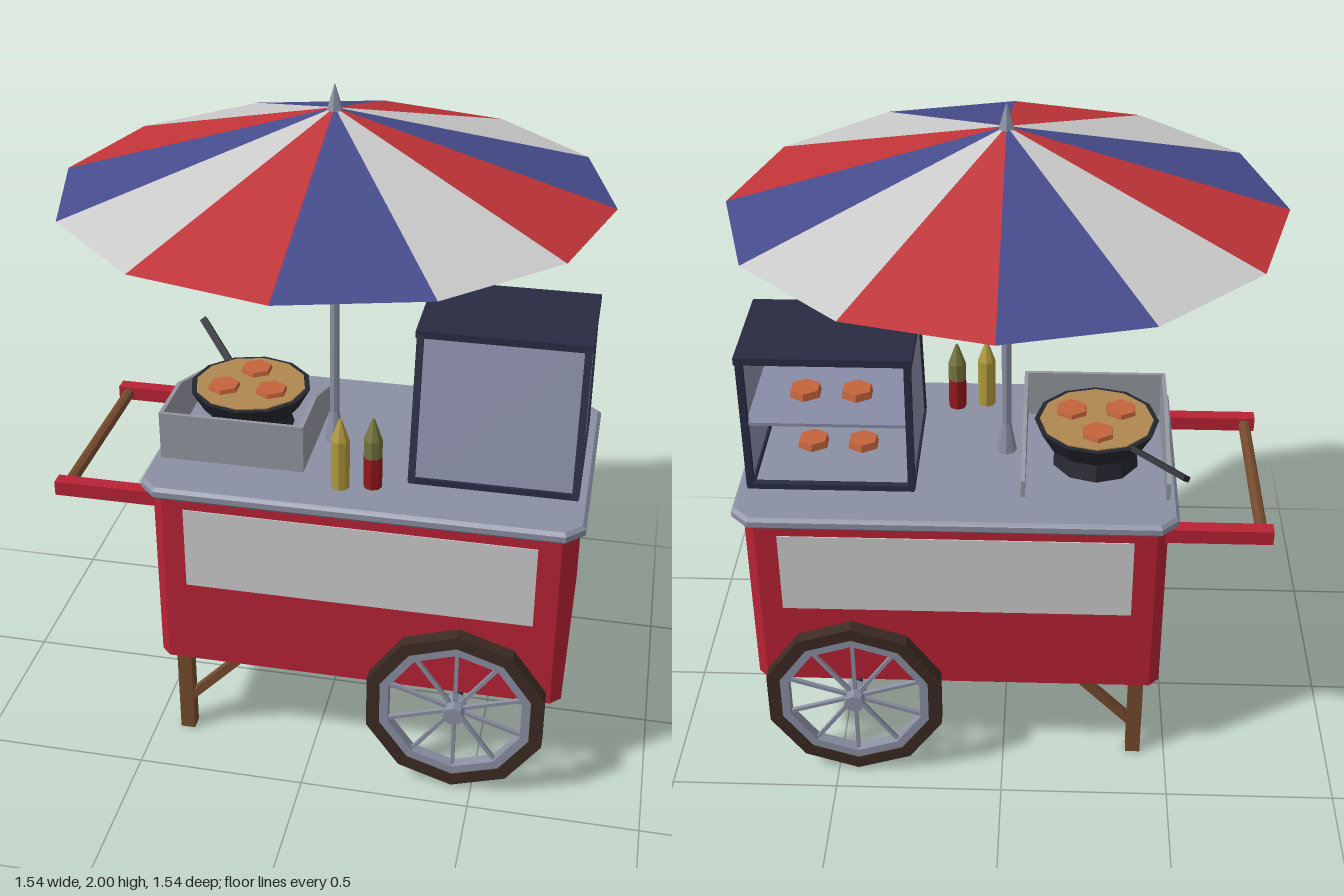
import * as THREE from 'three';

const mat = (color) => new THREE.MeshStandardMaterial({ color, flatShading: true, side: THREE.DoubleSide });
const RED = mat(0xb82234), GREY = mat(0xcccccc), STEEL = mat(0x8a8fa2), DARK = mat(0x282c42),
  WOOD = mat(0x744a2c), TYRE = mat(0x3c2a22), GLASS = mat(0x888ca6), STOVE = mat(0x92969e),
  BLACK = mat(0x24262e), PATTY = mat(0xc4643c), OIL = mat(0xb08850), MUSTARD = mat(0xb09a3c),
  OLIVE = mat(0x74743c), KETCHUP = mat(0x96181c);

function add(parent, name, geometry, material, x = 0, y = 0, z = 0) {
  const m = new THREE.Mesh(geometry, material);
  m.name = name;
  m.position.set(x, y, z);
  parent.add(m);
  return m;
}
const box = (p, name, m, w, h, d, x, y, z) => add(p, name, new THREE.BoxGeometry(w, h, d), m, x, y, z);
const cyl = (p, name, m, rTop, rBottom, h, sides, x, y, z) =>
  add(p, name, new THREE.CylinderGeometry(rTop, rBottom, h, sides), m, x, y, z);

// Straight bar from a to b
function bar(p, name, m, a, b, w, d = w) {
  const A = new THREE.Vector3(...a), B = new THREE.Vector3(...b);
  const dir = B.clone().sub(A);
  const mesh = box(p, name, m, w, dir.length(), d, 0, 0, 0);
  mesh.position.copy(A).add(B).multiplyScalar(0.5);
  mesh.quaternion.setFromUnitVectors(new THREE.Vector3(0, 1, 0), dir.normalize());
  return mesh;
}

// Upright slab with chamfered corners, optionally with a bevelled rim
function slab(x0, x1, hz, c, y0, y1, bevel = 0) {
  const a = x0 + bevel, b = x1 - bevel, h = hz - bevel;
  const s = new THREE.Shape([[a + c, -h], [b - c, -h], [b, c - h], [b, h - c], [b - c, h], [a + c, h], [a, h - c], [a, c - h]]
    .map((q) => new THREE.Vector2(...q)));
  const g = new THREE.ExtrudeGeometry(s, { depth: y1 - y0 - 2 * bevel, bevelEnabled: bevel > 0, bevelSize: bevel, bevelThickness: bevel, bevelSegments: 1 });
  return g.rotateX(-Math.PI / 2).translate(0, y0 + bevel, 0);
}

// Panel in the z-y plane, extruded along x
function sidePanel(points, t) {
  const s = new THREE.Shape(points.map(([z, y]) => new THREE.Vector2(-z, y)));
  return new THREE.ExtrudeGeometry(s, { depth: t, bevelEnabled: false }).translate(0, 0, -t / 2).rotateY(Math.PI / 2);
}

// Ten-sided ring facing z
function ring(outer, inner, width) {
  const poly = (r) => Array.from({ length: 10 }, (_, i) => {
    const t = Math.PI / 2 + i * Math.PI / 5;
    return new THREE.Vector2(r * Math.cos(t), r * Math.sin(t));
  });
  const s = new THREE.Shape(poly(outer));
  s.holes.push(new THREE.Path(poly(inner)));
  return new THREE.ExtrudeGeometry(s, { depth: width, bevelEnabled: false }).translate(0, 0, -width / 2);
}

function wheel(z) {
  const g = new THREE.Group();
  g.name = 'wheel';
  add(g, 'tyre', ring(0.272, 0.232, 0.042), TYRE);
  add(g, 'rim', ring(0.234, 0.205, 0.034), STEEL);
  for (let i = 0; i < 10; i++) {
    const t = Math.PI / 2 + i * Math.PI / 5;
    bar(g, 'spoke', STEEL, [0, 0, 0], [0.215 * Math.cos(t), 0.215 * Math.sin(t), 0], 0.011);
  }
  cyl(g, 'hub', STEEL, 0.03, 0.03, 0.075, 8, 0, 0, 0).rotation.x = Math.PI / 2;
  g.position.set(0.44, 0.277, z);
  return g;
}

function umbrella() {
  const g = new THREE.Group();
  g.name = 'umbrella';
  const colors = [mat(0xc03438), mat(0xcccccc), mat(0x464c8c)];
  const rim = (i) => [0.77 * Math.sin(i * Math.PI / 6), 1.705, -0.77 * Math.cos(i * Math.PI / 6)];
  for (let i = 0; i < 12; i++) {
    const geo = new THREE.BufferGeometry();
    geo.setAttribute('position', new THREE.Float32BufferAttribute([0, 1.935, 0, ...rim(i + 1), ...rim(i)], 3));
    geo.computeVertexNormals();
    add(g, 'canopySegment', geo, colors[i % 3]);
  }
  cyl(g, 'pole', STEEL, 0.014, 0.014, 1.03, 8, 0, 1.415, 0);
  cyl(g, 'poleBase', STEEL, 0.014, 0.032, 0.1, 8, 0, 0.955, 0);
  cyl(g, 'finial', STEEL, 0.001, 0.026, 0.08, 6, 0, 1.96, 0);
  return g;
}

function displayCase() {
  const g = new THREE.Group();
  g.name = 'displayCase';
  const x0 = 0.265, x1 = 0.73, cx = 0.4975;
  const outline = [[0.205, 0.915], [-0.225, 0.915], [-0.225, 1.33], [0.1, 1.33]];
  for (const x of [x0, x1]) {
    add(g, 'casePane', sidePanel(outline, 0.008), GLASS, x);
    bar(g, 'frontPost', DARK, [x, 0.915, 0.203], [x, 1.335, 0.098], 0.02);
    bar(g, 'backPost', DARK, [x, 0.915, -0.225], [x, 1.335, -0.225], 0.02);
    box(g, 'sideRail', DARK, 0.02, 0.018, 0.43, x, 0.92, -0.01);
  }
  bar(g, 'slopedFront', GLASS, [cx, 0.915, 0.2], [cx, 1.33, 0.095], 0.46, 0.008);
  box(g, 'frontRail', DARK, 0.48, 0.018, 0.02, cx, 0.92, 0.2);
  box(g, 'backRail', DARK, 0.48, 0.018, 0.02, cx, 0.92, -0.225);
  box(g, 'roof', DARK, 0.492, 0.022, 0.345, cx, 1.334, -0.064);
  box(g, 'shelf', GLASS, 0.46, 0.01, 0.33, cx, 1.125, -0.06);
  for (const x of [0.43, 0.58]) {
    cyl(g, 'shelfPatty', PATTY, 0.045, 0.05, 0.022, 6, x, 1.141, -0.06);
    cyl(g, 'lowerPatty', PATTY, 0.045, 0.05, 0.022, 6, x, 0.922, 0.01);
  }
  return g;
}

function stove() {
  const g = new THREE.Group();
  g.name = 'stove';
  // Wind guard, open to the back
  const guard = [[0.21, 0.905], [-0.25, 0.905], [-0.25, 0.965], [0.02, 1.057], [0.21, 1.057]];
  for (const x of [-0.47, -0.055]) add(g, 'guardSide', sidePanel(guard, 0.012), STOVE, x);
  box(g, 'guardFront', STOVE, 0.42, 0.15, 0.012, -0.2625, 0.982, 0.205);
  // Burner, pan and food
  cyl(g, 'burner', BLACK, 0.11, 0.13, 0.07, 10, -0.265, 0.945, -0.04);
  cyl(g, 'pan', BLACK, 0.182, 0.145, 0.065, 12, -0.265, 1.012, -0.04);
  cyl(g, 'fryingOil', OIL, 0.166, 0.166, 0.006, 12, -0.265, 1.045, -0.04);
  bar(g, 'panHandle', BLACK, [-0.36, 1.035, -0.17], [-0.505, 1.073, -0.38], 0.022, 0.016);
  for (let i = 0; i < 3; i++) {
    const t = 0.5 + i * Math.PI * 2 / 3;
    cyl(g, 'patty', PATTY, 0.046, 0.05, 0.016, 6, -0.265 + 0.083 * Math.cos(t), 1.053, -0.04 + 0.083 * Math.sin(t));
  }
  return g;
}

function bottle(x, z, lower, upper) {
  const g = new THREE.Group();
  g.name = 'sauceBottle';
  cyl(g, 'bottleLower', lower, 0.027, 0.027, 0.1, 8, 0, 0.05, 0);
  cyl(g, 'bottleUpper', upper, 0.027, 0.027, 0.055, 8, 0, 0.1275, 0);
  cyl(g, 'nozzle', upper, 0.004, 0.027, 0.065, 8, 0, 0.1875, 0);
  g.position.set(x, 0.908, z);
  return g;
}

export function createModel() {
  const cart = new THREE.Group();
  cart.name = 'foodCart';
  add(cart, 'body', slab(-0.47, 0.74, 0.345, 0.03, 0.295, 0.88), RED);
  add(cart, 'counter', slab(-0.5, 0.77, 0.385, 0.045, 0.873, 0.91, 0.01), STEEL);

  // Parts mirrored front and back
  for (const s of [1, -1]) {
    box(cart, 'sidePanel', GREY, 1.02, 0.26, 0.006, 0.135, 0.695, s * 0.345);
    box(cart, 'leg', WOOD, 0.044, 0.3, 0.044, -0.403, 0.15, s * 0.298);
    bar(cart, 'legBrace', WOOD, [-0.4, 0.105, s * 0.298], [-0.205, 0.31, s * 0.298], 0.026);
    box(cart, 'handleArm', RED, 0.31, 0.044, 0.042, -0.615, 0.833, s * 0.3);
    cart.add(wheel(s * 0.402));
  }
  cyl(cart, 'handleBar', WOOD, 0.018, 0.018, 0.58, 8, -0.738, 0.833, 0).rotation.x = Math.PI / 2;
  cyl(cart, 'axle', DARK, 0.015, 0.015, 0.84, 8, 0.44, 0.277, 0).rotation.x = Math.PI / 2;

  cart.add(umbrella(), displayCase(), stove(), bottle(0.07, 0.262, MUSTARD, MUSTARD), bottle(0.16, 0.242, KETCHUP, OLIVE));
  return cart;
}
